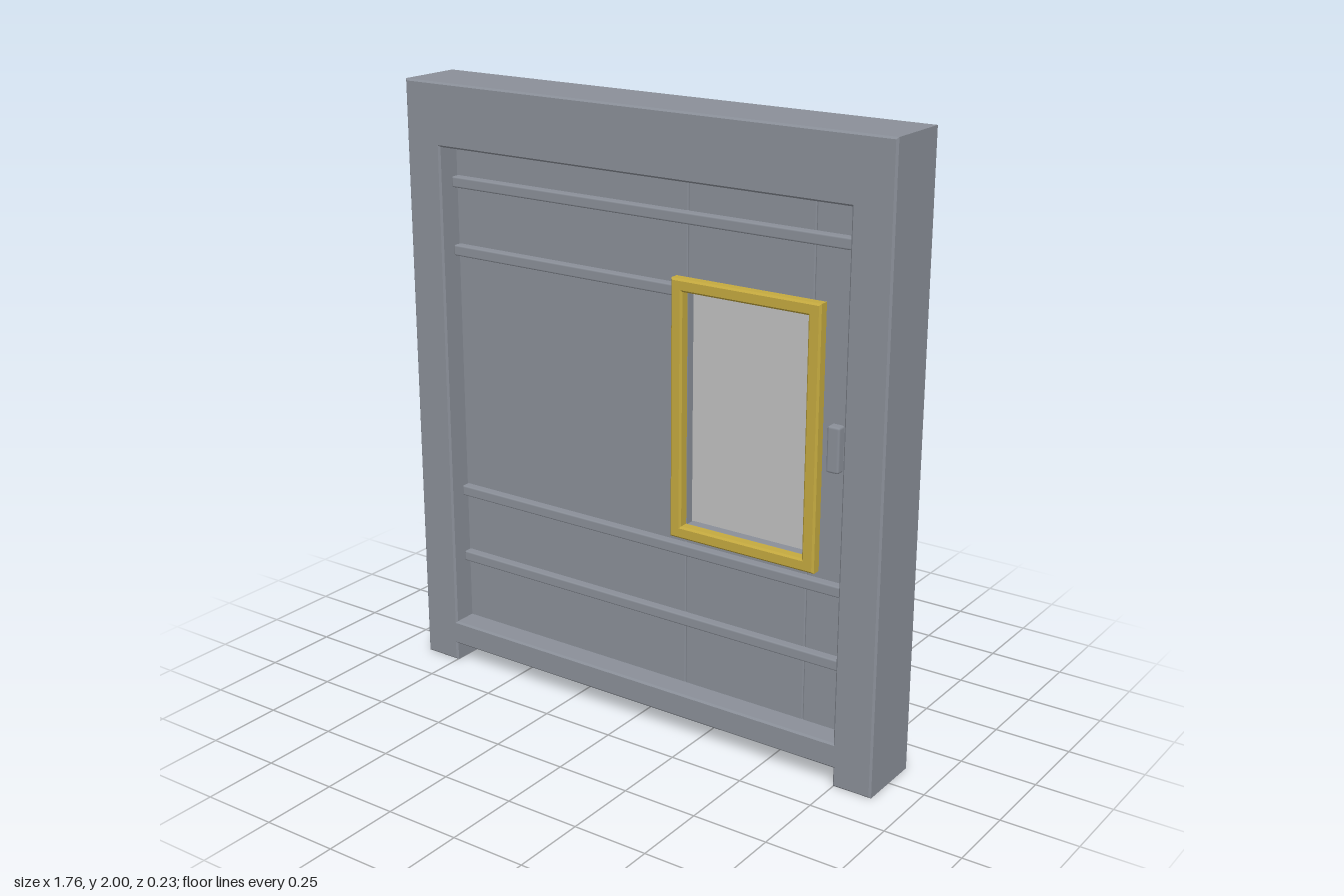
import * as THREE from 'three';
import { RoundedBoxGeometry } from 'three/addons/geometries/RoundedBoxGeometry.js';

export function createModel() {
  const model = new THREE.Group();
  model.name = 'door';

  const mat = (name, color) => {
    const m = new THREE.MeshStandardMaterial({ color });
    m.name = name;
    return m;
  };
  const grey = mat('greyMetal', 0x8a8f98);
  const gold = mat('yellowTrim', 0xc4a93f);
  const pane = mat('paleGlass', 0xc0c0c0);

  const add = (name, geometry, material) => {
    const mesh = new THREE.Mesh(geometry, material);
    mesh.name = name;
    model.add(mesh);
    return mesh;
  };

  // Softly bevelled box given by its two extreme corners
  const block = (name, x0, x1, y0, y1, z0, z1, r = 0.005, material = grey) => {
    const g = new RoundedBoxGeometry(x1 - x0, y1 - y0, z1 - z0, 1, r);
    g.translate((x0 + x1) / 2, (y0 + y1) / 2, (z0 + z1) / 2);
    return add(name, g, material);
  };

  const polygon = (points, Type = THREE.Shape) =>
    new Type(points.map(([x, y]) => new THREE.Vector2(x, y)));
  const rect = (x0, x1, y0, y1) => [[x0, y0], [x1, y0], [x1, y1], [x0, y1]];

  // Bevelled plate with a rectangular opening, final size including bevel
  const ring = (name, outer, hole, z0, z1, b, material) => {
    const shape = polygon(outer);
    shape.holes.push(polygon([...hole].reverse(), THREE.Path));
    const g = new THREE.ExtrudeGeometry(shape, {
      depth: z1 - z0 - 2 * b, bevelEnabled: true, bevelThickness: b,
      bevelSize: b, bevelOffset: -b, bevelSegments: 1,
    });
    g.translate(0, 0, z0 + b);
    return add(name, g, material);
  };

  // Surrounding frame standing on two feet
  ring('doorFrame', [
    [-0.88, 0], [-0.748, 0], [-0.748, 0.062], [0.748, 0.062],
    [0.748, 0], [0.88, 0], [0.88, 2], [-0.88, 2],
  ], rect(-0.746, 0.746, 0.145, 1.795), -0.117, 0.117, 0.006, grey);

  // Door leaf: wide panel, narrow panel, and panels above and below the window
  const zb = -0.036, zf = 0.036;
  block('widePanel', -0.75, 0.152, 0.14, 1.8, zb, zf);
  block('narrowPanel', 0.59, 0.75, 0.14, 1.8, zb, zf);
  block('upperPanel', 0.152, 0.59, 1.45, 1.8, zb, zf);
  block('lowerPanel', 0.152, 0.59, 0.14, 0.695, zb, zf);

  // Window pane and its raised trim on the front
  block('windowPane', 0.148, 0.594, 0.69, 1.455, -0.004, 0.004, 0.001, pane);
  ring('windowTrim', rect(0.112, 0.632, 0.655, 1.49),
    rect(0.152, 0.59, 0.695, 1.45), 0.03, 0.07, 0.006, gold);

  // Horizontal ribs on the front
  for (const [y, end] of [[1.675, 0.745], [1.45, 0.115], [0.615, 0.745], [0.375, 0.745]]) {
    block('rib', -0.747, end, y - 0.018, y + 0.018, 0.02, 0.064, 0.006);
  }

  // Handles on both faces
  for (const s of [1, -1]) {
    const z = 0.047 * s;
    block(s > 0 ? 'frontHandle' : 'backHandle',
      0.66, 0.703, 0.985, 1.13, z - 0.018, z + 0.018, 0.008);
  }

  return model;
}
